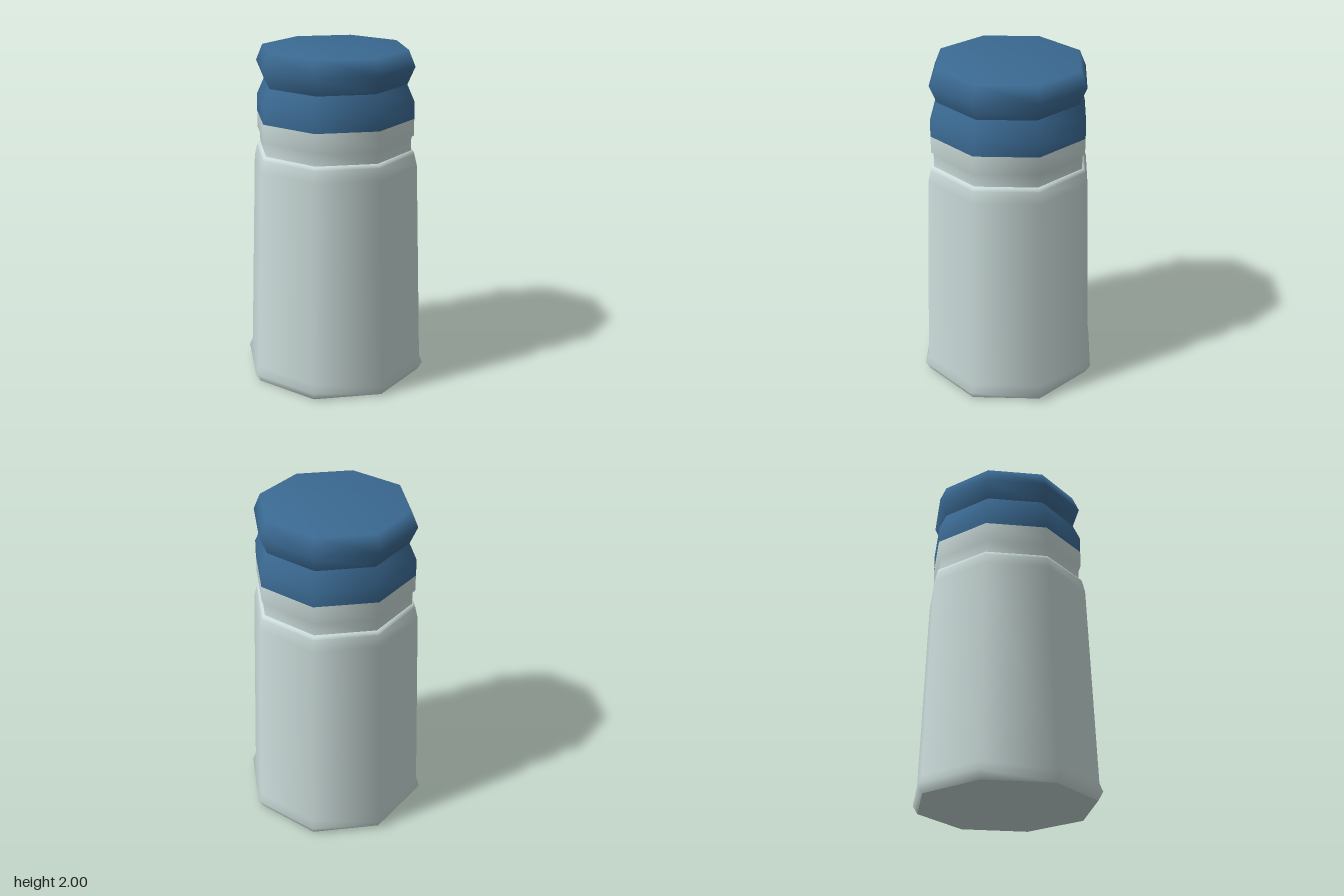
import * as THREE from 'three';

const SIDES = 8;

export function createModel() {
  const group = new THREE.Group();
  const ceramic = new THREE.MeshStandardMaterial({ color: 0xcbdcda });
  ceramic.name = 'paleGrey';
  const blue = new THREE.MeshStandardMaterial({ color: 0x3b6a93 });
  blue.name = 'blue';

  // Eight-sided turned piece; profile runs upwards as [radius, height]
  function turned(name, profile, material) {
    const points = profile.map(([r, y]) => new THREE.Vector2(r, y));
    const mesh = new THREE.Mesh(new THREE.LatheGeometry(points, SIDES), material);
    mesh.name = name;
    group.add(mesh);
  }

  // Flat underside
  turned('base', [[0, 0], [0.53, 0]], ceramic);
  // Flared foot, tapering wall and rounded shoulder
  turned('body', [[0.53, 0], [0.56, 0.05], [0.54, 0.1], [0.497, 1.32], [0.48, 1.39]], ceramic);
  // Ledge on top of the shoulder
  turned('shoulderLedge', [[0.48, 1.39], [0.475, 1.405], [0.46, 1.41]], ceramic);
  // Recessed neck running into the collar
  turned('neck', [[0.46, 1.41], [0.46, 1.49], [0.475, 1.5], [0.475, 1.6]], ceramic);
  // Lower ring of the cap
  turned('capRing', [[0.475, 1.6], [0.475, 1.7], [0.43, 1.8]], blue);
  // Upper knob of the cap with its closed top
  turned('capTop', [[0.43, 1.8], [0.475, 1.905], [0.435, 2], [0, 2]], blue);

  return group;
}
